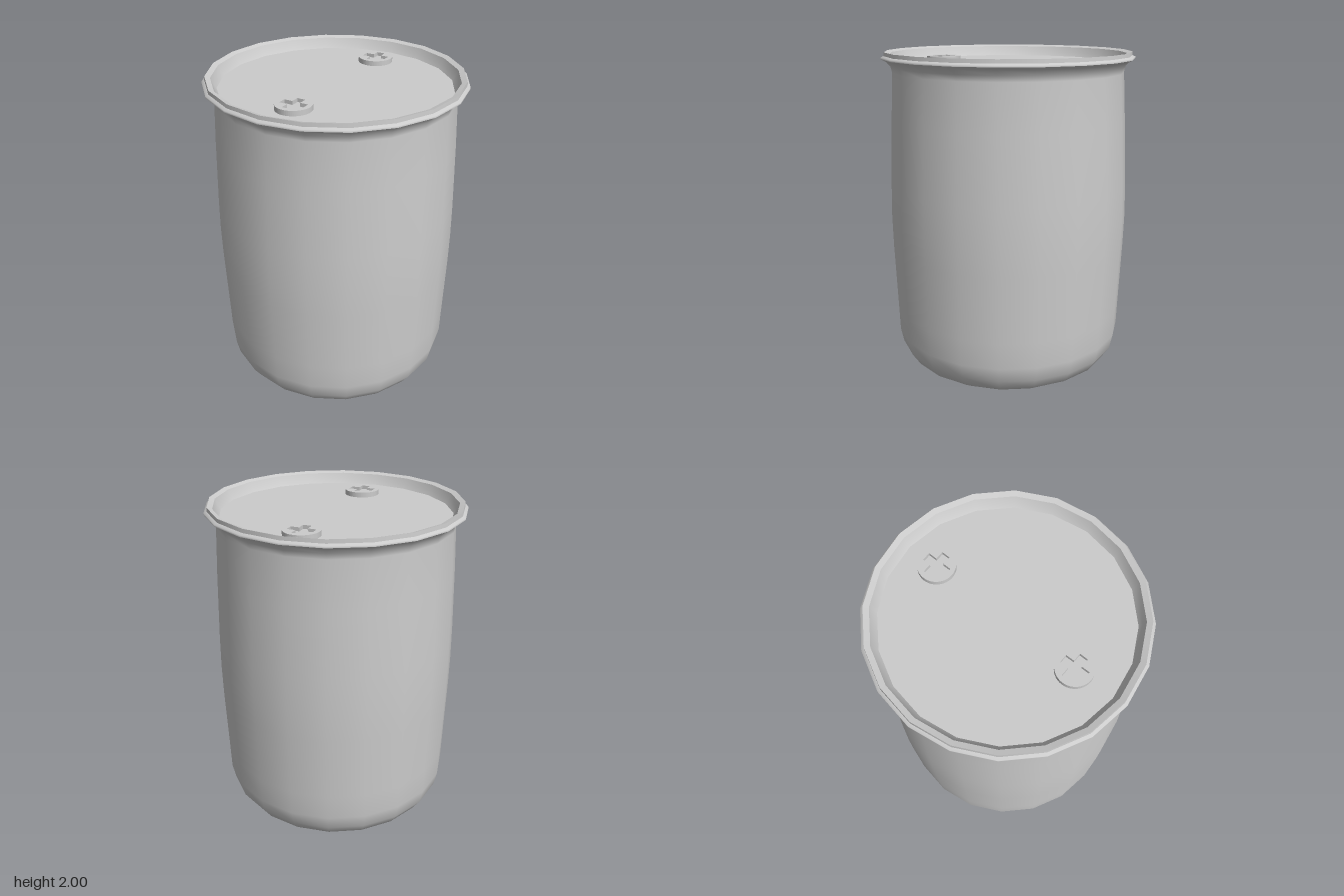
import * as THREE from 'three';

const SIDES = 20;
const material = new THREE.MeshStandardMaterial({ color: 0xcccccc });

// Turned part; the profile runs from the bottom centre, up the outside, then inwards
function turned(name, profile) {
  const points = profile.map(([r, y]) => new THREE.Vector2(r, y));
  const mesh = new THREE.Mesh(new THREE.LatheGeometry(points, SIDES), material);
  mesh.name = name;
  return mesh;
}

// Plus-shaped outline for the screw slot
function crossPath(arm, half) {
  const path = new THREE.Path();
  const corners = [];
  for (let i = 0; i < 4; i++) {
    const c = Math.round(Math.cos(i * Math.PI / 2));
    const s = Math.round(Math.sin(i * Math.PI / 2));
    for (const [x, y] of [[arm, -half], [arm, half], [half, half]]) {
      corners.push(new THREE.Vector2(x * c - y * s, x * s + y * c));
    }
  }
  path.setFromPoints(corners);
  path.closePath();
  return path;
}

// Round screw head with a sunken cross slot
function screw(name, z, floorY) {
  const group = new THREE.Group();
  group.name = name;
  const shape = new THREE.Shape().absarc(0, 0, 0.105, 0, Math.PI * 2);
  shape.holes.push(crossPath(0.075, 0.025));
  const geometry = new THREE.ExtrudeGeometry(shape, { depth: 0.03, bevelEnabled: false, curveSegments: 32 });
  geometry.rotateX(-Math.PI / 2);
  const head = new THREE.Mesh(geometry, material);
  head.name = name + 'Head';
  const slot = new THREE.Mesh(new THREE.CircleGeometry(0.1, 32).rotateX(-Math.PI / 2), material);
  slot.name = name + 'SlotFloor';
  slot.position.y = 0.008;
  group.add(head, slot);
  group.position.set(0, floorY, z);
  return group;
}

export function createModel() {
  const model = new THREE.Group();
  model.name = 'canister';
  const floorY = 1.93;

  // Gently bulging body with a rounded base and flared neck
  const body = turned('body', [
    [0, 0], [0.47, 0.005], [0.57, 0.025], [0.65, 0.075], [0.7, 0.15], [0.718, 0.24],
    [0.721, 0.4], [0.73, 0.8], [0.731, 1], [0.728, 1.2], [0.715, 1.6],
    [0.702, 1.88], [0.71, 1.915], [0.735, 1.945], [0.765, 1.96],
  ]);
  // The bulge is slightly deeper front to back
  const p = body.geometry.attributes.position;
  for (let i = 0; i < p.count; i++) {
    const t = Math.max(0, 1 - Math.abs(p.getY(i) - 1) / 0.85);
    p.setZ(i, p.getZ(i) * (1 + 0.02 * t));
  }
  body.geometry.computeBoundingSphere();

  // Flange edge, lid seam and raised lip
  const flange = turned('flange', [[0.765, 1.96], [0.765, 1.97], [0.748, 1.978]]);
  const lip = turned('lip', [[0.748, 1.978], [0.746, 2]]);
  const lipTop = turned('lipTop', [[0.746, 2], [0.715, 1.99]]);

  // Sunken lid
  const lidWall = turned('lidWall', [[0.715, 1.99], [0.7, 1.955], [0.683, floorY]]);
  const lid = new THREE.Mesh(new THREE.CircleGeometry(0.683, SIDES).rotateX(-Math.PI / 2), material);
  lid.name = 'lid';
  lid.position.y = floorY;

  model.add(body, flange, lip, lipTop, lidWall, lid);
  model.add(screw('backScrew', -0.487, floorY), screw('frontScrew', 0.44, floorY));
  return model;
}
